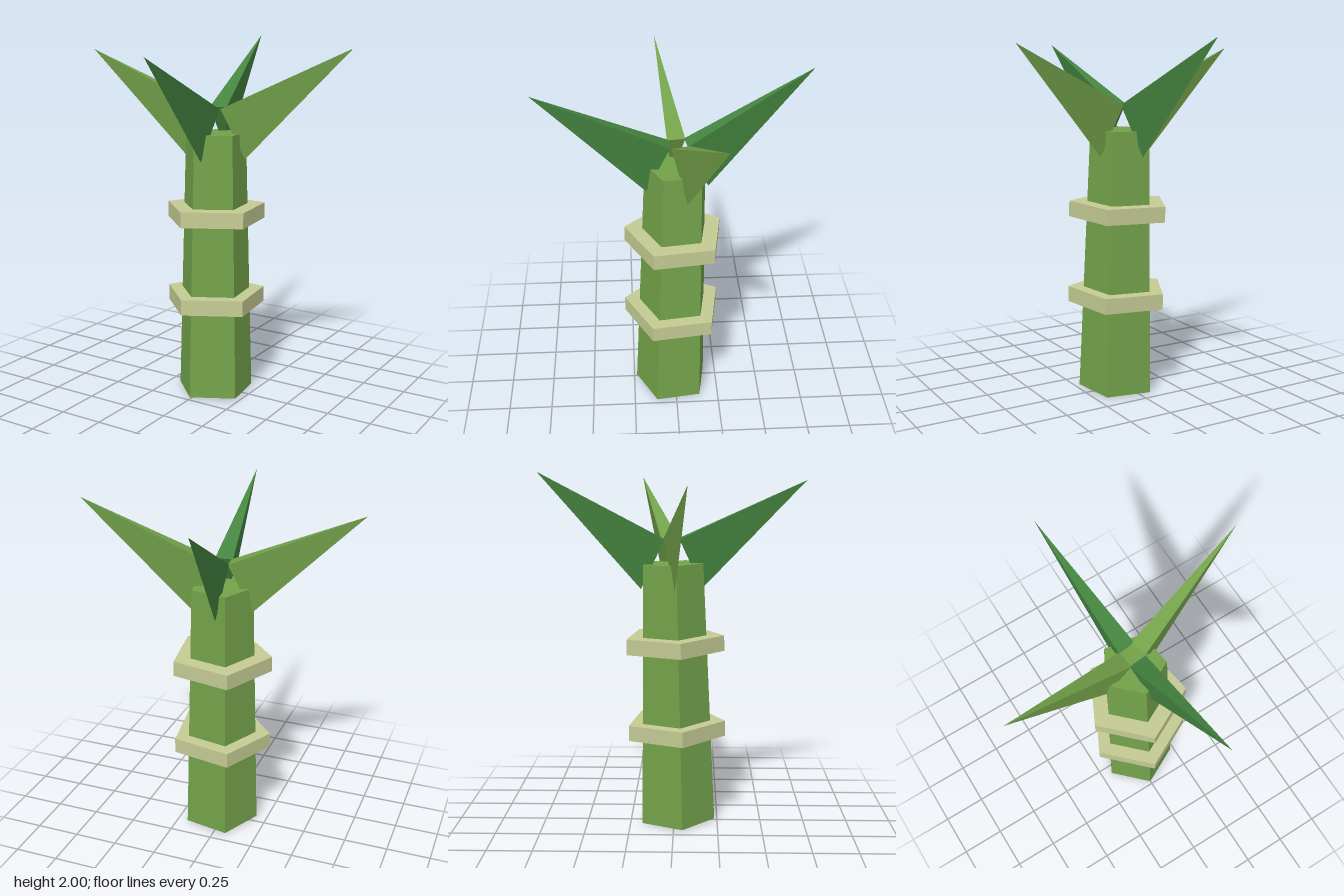
import * as THREE from 'three';

const flat = (name, color) => {
  const m = new THREE.MeshStandardMaterial({ color, flatShading: true });
  m.name = name;
  return m;
};

// Three-sided leaf: a flat top face, a keel below and a closing inner face
function leafGeometry(tip) {
  const centre = new THREE.Vector3(0.013, 0, -0.015);
  const out = tip.clone().sub(centre).setY(0).normalize();
  const side = new THREE.Vector3(-out.z, 0, out.x);
  const at = (reach, across, y) => centre.clone()
    .addScaledVector(out, reach).addScaledVector(side, across).setY(y);
  const a = at(0.045, 0.05, 1.635);
  const b = at(0.045, -0.05, 1.635);
  const keel = at(0.172, 0, 1.355);
  const faces = [tip, b, a, tip, a, keel, tip, keel, b, a, b, keel];
  return new THREE.BufferGeometry().setFromPoints(faces);
}

export function createModel() {
  const model = new THREE.Group();
  model.name = 'palmPlant';
  const stemGreen = flat('stemGreen', 0x73a24a);
  const deepGreen = flat('deepGreen', 0x458540);
  const straw = flat('straw', 0xc4cb93);

  const add = (parent, name, geometry, material) => {
    if (!geometry.attributes.normal) geometry.computeVertexNormals();
    const mesh = new THREE.Mesh(geometry, material);
    mesh.name = name;
    parent.add(mesh);
    return mesh;
  };

  // Slightly leaning five-sided trunk with two bands
  const stem = new THREE.Group();
  stem.name = 'stem';
  stem.position.set(0.032, 0.006, 0.016);
  stem.rotation.set(-0.019, 0, 0.011);
  model.add(stem);
  const prism = (name, top, bottom, height, y, material) => {
    const geometry = new THREE.CylinderGeometry(top, bottom, height, 5, 1, false, -Math.PI / 20);
    add(stem, name, geometry, material).position.y = y;
  };
  prism('trunk', 0.177, 0.221, 1.492, 0.746, stemGreen);
  prism('lowerBand', 0.29, 0.29, 0.088, 0.547, straw);
  prism('upperBand', 0.29, 0.29, 0.088, 1.042, straw);

  // Four leaves spreading from the crown
  const leaves = [
    ['leftLeaf', [0.74, 1.97, -0.21], stemGreen],
    ['rightLeaf', [-0.745, 1.937, 0.08], stemGreen],
    ['frontLeaf', [0.075, 1.955, 0.738], deepGreen],
    ['backLeaf', [-0.1, 2, -0.74], deepGreen],
  ];
  for (const [name, tip, material] of leaves) {
    add(model, name, leafGeometry(new THREE.Vector3(...tip)), material);
  }
  return model;
}
